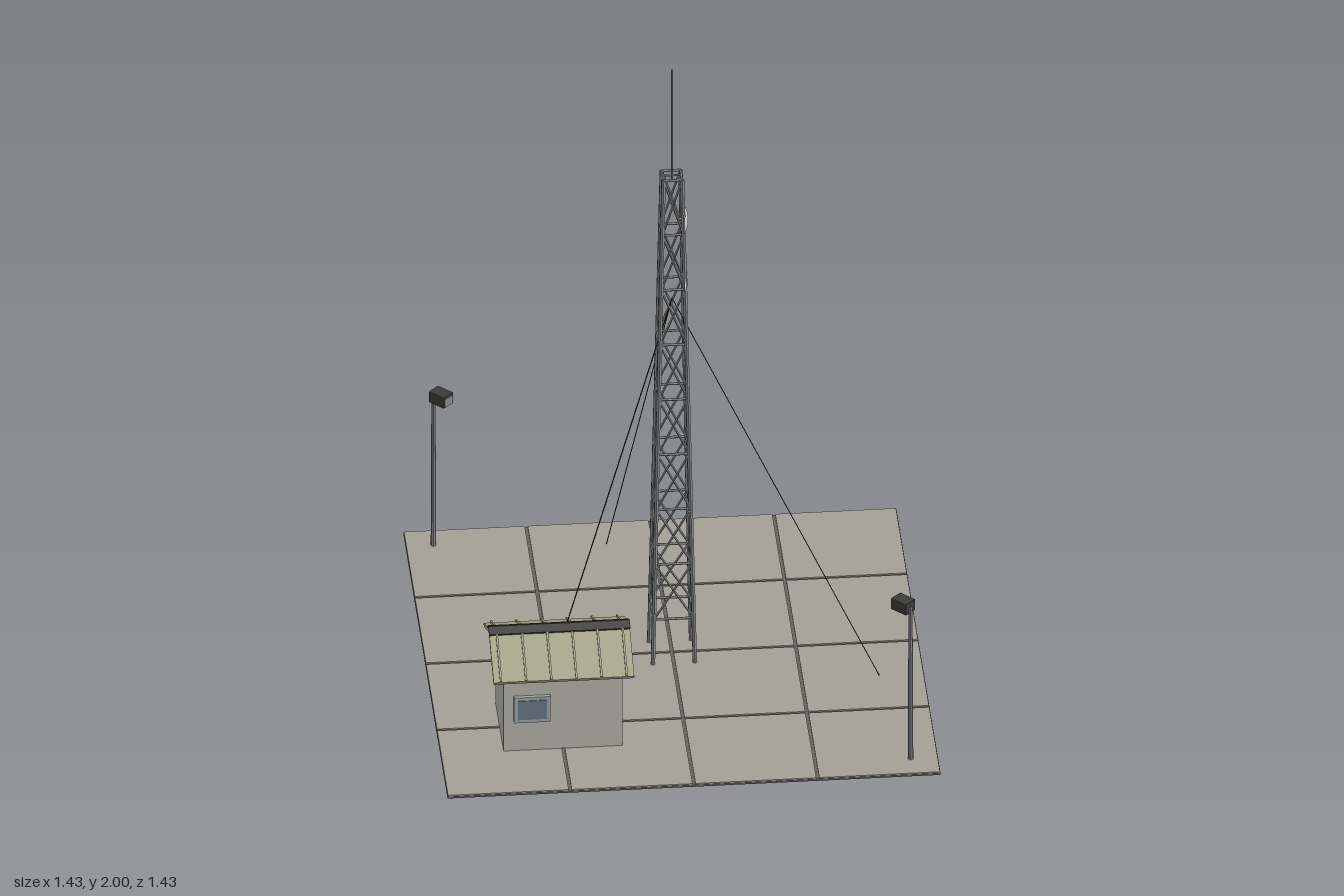
import * as THREE from 'three';

const mat = (color) => new THREE.MeshStandardMaterial({ color, flatShading: true });
const M = {
  slab: mat(0xa3a097), joint: mat(0x66645f), wall: mat(0xb9b9af), roof: mat(0xa3a588),
  dark: mat(0x3c3c3a), steel: mat(0x8b8d8e), dish: mat(0xc4c4c4), glass: mat(0x6c7c8c),
  frame: mat(0xa3a9a9), wire: mat(0x333333), lens: mat(0x8a8a86),
};
M.dish.side = THREE.DoubleSide;

function add(parent, name, geometry, material, x = 0, y = 0, z = 0) {
  const mesh = new THREE.Mesh(geometry, material);
  mesh.name = name;
  mesh.position.set(x, y, z);
  parent.add(mesh);
  return mesh;
}

function box(parent, name, material, w, h, d, x, y, z) {
  return add(parent, name, new THREE.BoxGeometry(w, h, d), material, x, y, z);
}

// Straight bar between two points
function bar(parent, name, a, b, radius, material, sides = 5) {
  const dir = b.clone().sub(a);
  const mesh = add(parent, name, new THREE.CylinderGeometry(radius, radius, dir.length(), sides), material);
  mesh.position.copy(a).add(b).multiplyScalar(0.5);
  mesh.quaternion.setFromUnitVectors(new THREE.Vector3(0, 1, 0), dir.normalize());
  return mesh;
}

function group(parent, name) {
  const g = new THREE.Group();
  g.name = name;
  parent.add(g);
  return g;
}

const V = (x, y, z) => new THREE.Vector3(x, y, z);

// Paved yard: four by four slabs over a darker base
function buildGround(root) {
  const g = group(root, 'ground');
  box(g, 'groundBase', M.joint, 1.43, 0.006, 1.43, 0, 0.003, 0);
  for (let i = 0; i < 4; i++) {
    for (let j = 0; j < 4; j++) {
      box(g, 'pavingSlab', M.slab, 0.35, 0.008, 0.35, (i - 1.5) * 0.359, 0.006, (j - 1.5) * 0.359);
    }
  }
}

// Tapering lattice tower with four legs
function buildTower(root) {
  const g = group(root, 'tower');
  const top = 1.64;
  const corner = (k, y) => {
    const h = 0.061 + (0.027 - 0.061) * (y / top);
    const sx = [1, -1, -1, 1][k % 4];
    const sz = [1, 1, -1, -1][k % 4];
    return V(sx * h, y, sz * h);
  };
  const panels = 8, first = 0.16, step = (top - first) / panels;
  for (let k = 0; k < 4; k++) {
    bar(g, 'towerLeg', corner(k, 0.005), corner(k, top), 0.007, M.steel, 6);
    for (let i = 0; i <= panels; i++) {
      const y = first + i * step;
      bar(g, 'crossBar', corner(k, y), corner(k + 1, y), 0.004, M.steel);
      if (i === panels) continue;
      bar(g, 'diagonalBrace', corner(k, y), corner(k + 1, y + step), 0.0035, M.steel);
      bar(g, 'diagonalBrace', corner(k + 1, y), corner(k, y + step), 0.0035, M.steel);
    }
  }

  // Mast on top
  bar(g, 'mast', V(0, 1.62, 0), V(0, 2, 0), 0.0035, M.steel, 6);
  bar(g, 'mastSupport', V(-0.027, top, 0), V(0.027, top, 0), 0.003, M.steel);

  // Shallow dishes on the left side
  const profile = [[0, 0.015], [0.02, 0.013], [0.038, 0.007], [0.05, 0]].map(p => new THREE.Vector2(...p));
  for (const y of [1.285, 1.49]) {
    const dish = add(g, 'dish', new THREE.LatheGeometry(profile, 12), M.dish, 0.032, y, 0);
    dish.rotation.z = -Math.PI / 2;
    bar(g, 'dishMount', V(0.02, y, 0), V(0.046, y, 0), 0.005, M.steel);
    bar(g, 'dishBracket', V(0.03, y, -0.03), V(0.03, y, 0.03), 0.003, M.steel);
  }

  // Three guy wires spaced evenly around the tower
  for (let k = 0; k < 3; k++) {
    const a = THREE.MathUtils.degToRad(17.1 + 120 * k);
    bar(g, 'guyWire', V(0, 1.22, 0), V(0.612 * Math.cos(a), 0.01, 0.612 * Math.sin(a)), 0.0018, M.wire, 4);
  }
}

// Small equipment hut with a gabled metal roof
function buildHut(root) {
  const g = group(root, 'hut');
  g.position.set(-0.36, 0, 0.36);
  box(g, 'walls', M.wall, 0.345, 0.24, 0.26, 0, 0.13, 0);

  const gable = new THREE.Shape([[-0.115, 0.249], [0.115, 0.249], [0, 0.322]].map(p => new THREE.Vector2(...p)));
  const geo = new THREE.ExtrudeGeometry(gable, { depth: 0.34, bevelEnabled: false });
  geo.translate(0, 0, -0.17).rotateY(Math.PI / 2);
  add(g, 'gable', geo, M.wall);

  // Roof halves with standing seams
  const angle = Math.atan2(0.083, 0.16);
  for (const s of [1, -1]) {
    const half = group(g, 'roofHalf');
    half.position.set(0, 0.302, s * 0.08);
    half.rotation.x = s * angle;
    box(half, 'roofPanel', M.roof, 0.408, 0.011, 0.18, 0, 0, 0);
    for (let i = 0; i < 6; i++) {
      box(half, 'roofSeam', M.roof, 0.006, 0.007, 0.18, (i - 2.5) * 0.073, 0.008, 0);
    }
    // Ridge cap
    const cap = box(g, 'ridgeCap', M.dark, 0.41, 0.007, 0.027, 0, 0.347, s * 0.012);
    cap.rotation.x = s * angle;
  }

  // Door on the left end
  box(g, 'door', M.dark, 0.012, 0.2, 0.09, 0.174, 0.11, -0.004);

  // Window on the front
  box(g, 'windowFrame', M.frame, 0.106, 0.086, 0.014, -0.09, 0.153, 0.134);
  box(g, 'windowPane', M.glass, 0.084, 0.064, 0.006, -0.09, 0.153, 0.14);
}

// Lamp post in a corner, head turned toward the middle
function buildLamp(root, s) {
  const g = group(root, 'lampPost');
  g.position.set(s * 0.635, 0, s * 0.635);
  g.rotation.y = s > 0 ? Math.PI * 0.75 : -Math.PI / 4;
  add(g, 'post', new THREE.CylinderGeometry(0.006, 0.008, 0.52, 8), M.steel, 0, 0.265, 0);
  box(g, 'lampHead', M.dark, 0.056, 0.036, 0.041, 0.028, 0.527, 0);
  box(g, 'lampLens', M.lens, 0.004, 0.026, 0.034, 0.056, 0.525, 0);
}

export function createModel() {
  const root = new THREE.Group();
  root.name = 'radioTowerSite';
  buildGround(root);
  buildTower(root);
  buildHut(root);
  for (const s of [1, -1]) buildLamp(root, s);
  return root;
}
